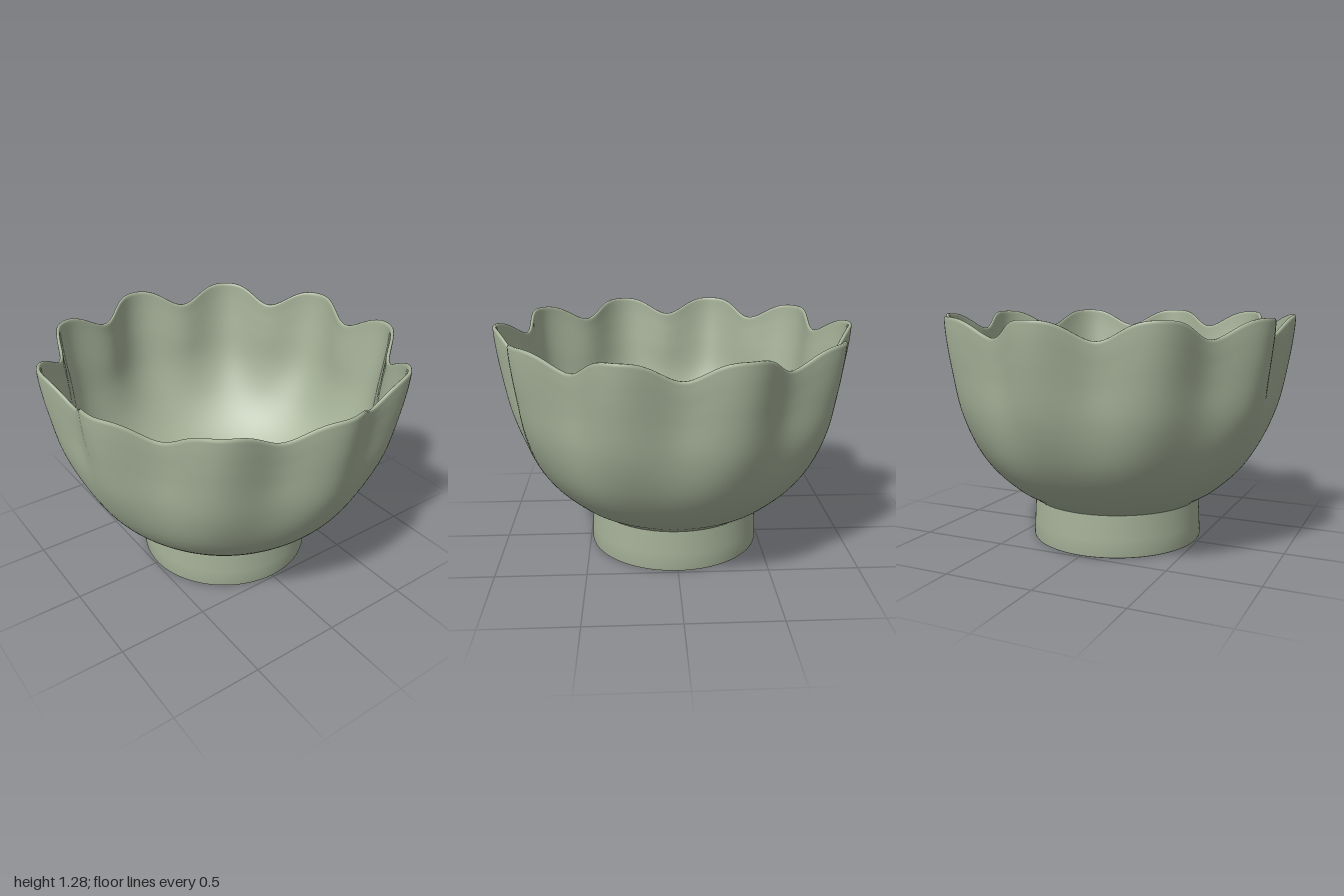
import * as THREE from 'three';
import { mergeVertices, toCreasedNormals } from 'three/addons/utils/BufferGeometryUtils.js';

const LOBES = 10;
const SEGMENTS = 240;

// Smooth profile curve through a few [radius, height] points
function smoothProfile(points, divisions) {
  const curve = new THREE.SplineCurve(points.map(([r, y]) => new THREE.Vector2(r, y)));
  return curve.getPoints(divisions).map((p) => new THREE.Vector2(Math.max(p.x, 0), p.y));
}

// Press the flutes into the wall and scallop the rim
function flute(geometry) {
  const pos = geometry.attributes.position;
  for (let i = 0; i < pos.count; i++) {
    const x = pos.getX(i), y = pos.getY(i), z = pos.getZ(i);
    const valley = (1 - Math.cos(LOBES * Math.atan2(z, x))) / 2;
    const scale = 1 - 0.093 * valley * THREE.MathUtils.smoothstep(y, 0.4, 1.2);
    const drop = 0.097 * Math.pow(valley, 1.6) * THREE.MathUtils.smoothstep(y, 0.75, 1.26);
    pos.setXYZ(i, x * scale, y - drop, z * scale);
  }
}

function createBowl(material) {
  const outer = smoothProfile([
    [0.47, 0.23], [0.525, 0.267], [0.607, 0.322], [0.73, 0.44], [0.838, 0.6],
    [0.922, 0.8], [0.97, 1.03], [0.992, 1.18], [0.999, 1.272],
  ], 56);
  const rim = [[0.998, 1.28], [0.994, 1.285], [0.984, 1.285], [0.979, 1.28]]
    .map(([r, y]) => new THREE.Vector2(r, y));
  const inner = smoothProfile([
    [0.977, 1.272], [0.97, 1.18], [0.947, 1.03], [0.898, 0.8], [0.812, 0.61],
    [0.705, 0.46], [0.585, 0.35], [0.46, 0.28], [0.3, 0.25], [0, 0.24],
  ], 56);
  let geometry = new THREE.LatheGeometry([...outer, ...rim, ...inner], SEGMENTS);
  geometry.deleteAttribute('uv');
  geometry.deleteAttribute('normal');
  geometry = mergeVertices(geometry, 1e-5);
  flute(geometry);
  geometry.computeVertexNormals();
  const bowl = new THREE.Mesh(geometry, material);
  bowl.name = 'flutedBowl';
  return bowl;
}

// Hollow foot ring with a recessed underside
function createFoot(material) {
  const profile = [
    [0, 0.19], [0.44, 0.19], [0.45, 0.18], [0.455, 0.015], [0.462, 0.003], [0.47, 0],
    [0.482, 0], [0.489, 0.004], [0.491, 0.012], [0.487, 0.1], [0.479, 0.245],
  ].map(([r, y]) => new THREE.Vector2(r, y));
  const geometry = new THREE.LatheGeometry(profile, 128);
  const foot = new THREE.Mesh(toCreasedNormals(geometry, 0.7), material);
  foot.name = 'footRing';
  return foot;
}

export function createModel() {
  const glaze = new THREE.MeshStandardMaterial({ color: 0xa5b198 });
  glaze.name = 'celadon glaze';
  const model = new THREE.Group();
  model.name = 'scallopedBowl';
  model.add(createBowl(glaze), createFoot(glaze));
  return model;
}
